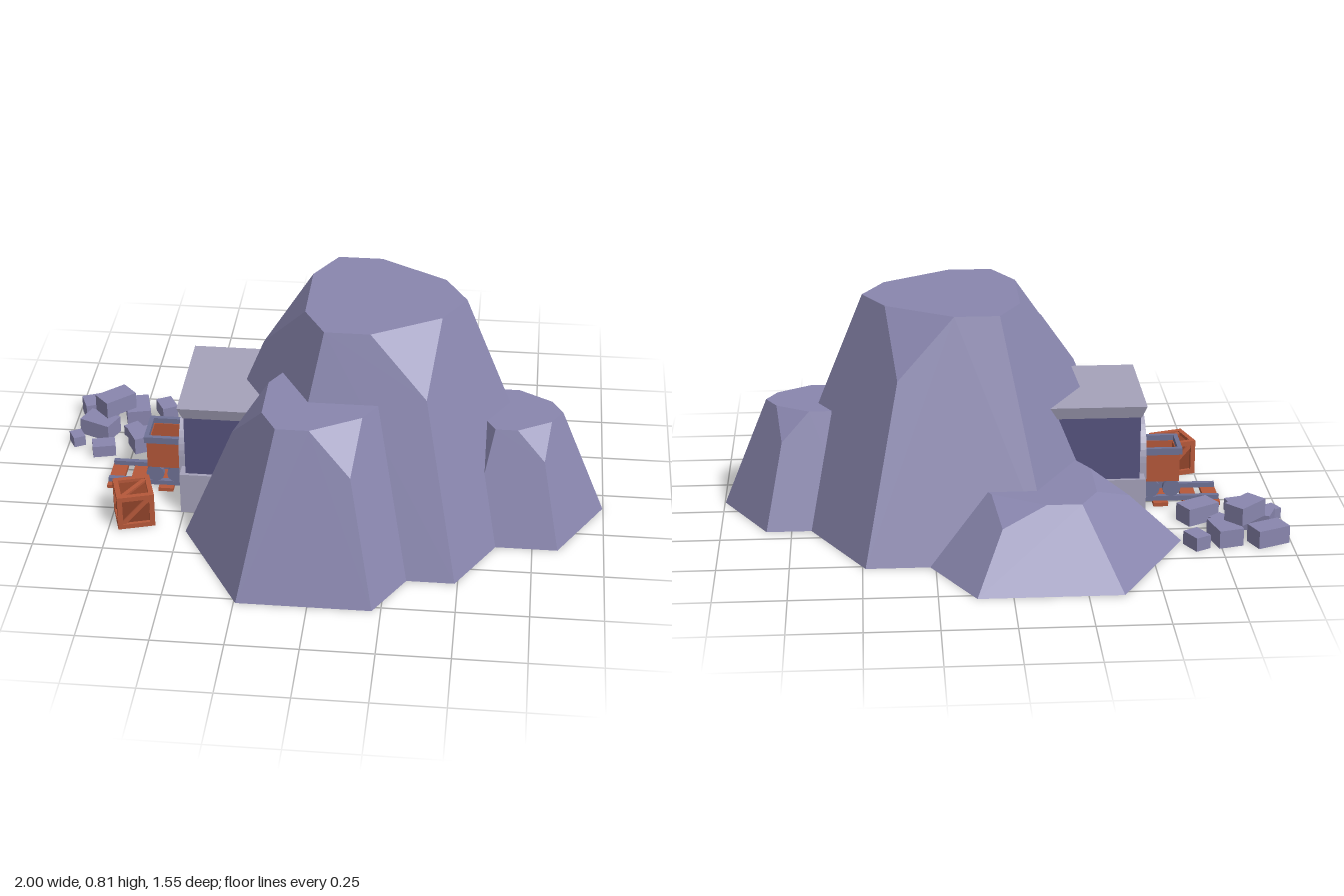
import * as THREE from 'three';
import { ConvexGeometry } from 'three/addons/geometries/ConvexGeometry.js';

const mat = (color) => new THREE.MeshStandardMaterial({ color, flatShading: true });
const rock = mat(0x8986ae), stone = mat(0xa5a2ba), wallMat = mat(0x56537f),
  dark = mat(0x33314a), metal = mat(0x6f7296), wood = mat(0xb5583a), darkWood = mat(0x8f4229);

function add(parent, name, geometry, material, x = 0, y = 0, z = 0) {
  const m = new THREE.Mesh(geometry, material);
  m.name = name;
  m.position.set(x, y, z);
  parent.add(m);
  return m;
}
const box = (parent, name, material, w, h, d, x, y, z) =>
  add(parent, name, new THREE.BoxGeometry(w, h, d), material, x, y, z);
function group(parent, name) {
  const g = new THREE.Group();
  g.name = name;
  parent.add(g);
  return g;
}

// Six-sided tapered rock; every other top corner is chipped off
function rockGeometry(r, h) {
  const pts = [], top = r * 0.49;
  const put = (a, rad, y) => pts.push(new THREE.Vector3(Math.cos(a) * rad, y, Math.sin(a) * rad));
  for (let i = 0; i < 6; i++) {
    const a = i * Math.PI / 3;
    put(a, r, 0);
    if (i % 2) put(a, r + (top - r) * 0.745, h * 0.745);
    else put(a, top, h);
    put(a + Math.PI / 6, top * Math.cos(Math.PI / 6), h);
  }
  return new ConvexGeometry(pts);
}

// Arch outline in the (z, y) plane
function archPath(target, r, spring) {
  target.moveTo(-r, 0);
  target.lineTo(-r, spring);
  target.absarc(0, spring, r, Math.PI, 0, true);
  target.lineTo(r, 0);
  target.lineTo(-r, 0);
  return target;
}

// Extrusion from x = back toward the mouth at x = front
function extrudeX(parent, name, shape, material, front, back) {
  const g = new THREE.ExtrudeGeometry(shape, { depth: back - front, bevelEnabled: false, curveSegments: 10 });
  g.rotateY(-Math.PI / 2);
  return add(parent, name, g, material, back, 0, 0.04);
}

function buildEntrance(root) {
  const g = group(root, 'entrance');
  const wall = new THREE.Shape([[-0.2, 0], [0.2, 0], [0.2, 0.41], [-0.2, 0.41]].map((p) => new THREE.Vector2(...p)));
  wall.holes.push(archPath(new THREE.Path(), 0.12, 0.2));
  extrudeX(g, 'entranceWall', wall, wallMat, -0.49, -0.1);
  extrudeX(g, 'tunnelDarkness', archPath(new THREE.Shape(), 0.125, 0.2), dark, -0.475, -0.44);

  // Raised stone surround
  const ring = archPath(new THREE.Shape(), 0.155, 0.2);
  ring.holes.push(archPath(new THREE.Path(), 0.12, 0.2));
  extrudeX(g, 'archSurround', ring, stone, -0.52, -0.47);

  // Stone footings at both sides
  for (const s of [-1, 1]) box(g, 'footing', stone, 0.3, 0.16, 0.075, -0.36, 0.08, 0.04 + s * 0.175);

  // Roof slab narrowing to its underside
  const roof = new THREE.BoxGeometry(0.51, 0.045, 0.44);
  const p = roof.attributes.position;
  for (let i = 0; i < p.count; i++) {
    if (p.getY(i) < 0) {
      p.setX(i, p.getX(i) * 0.93);
      p.setZ(i, p.getZ(i) * 0.94);
    }
  }
  roof.computeVertexNormals();
  add(g, 'roofSlab', roof, stone, -0.255, 0.4175, 0.04);
}

function buildTrack(root) {
  const g = group(root, 'track');
  for (const x of [-0.775, -0.695, -0.585, -0.49])
    box(g, 'sleeper', wood, 0.054, 0.014, 0.175, x, 0.007, 0.04);
  for (const z of [-0.017, 0.097])
    box(g, 'rail', metal, 0.36, 0.018, 0.018, -0.62, 0.022, z);
}

function buildCart(root) {
  const g = group(root, 'cart');
  g.position.set(-0.587, 0, 0.04);
  box(g, 'cartFloor', wood, 0.12, 0.02, 0.12, 0, 0.1, 0);
  box(g, 'chassis', metal, 0.13, 0.022, 0.09, 0, 0.08, 0);
  for (const s of [-1, 1]) {
    box(g, 'cartSide', wood, 0.13, 0.11, 0.012, 0, 0.145, s * 0.061);
    box(g, 'cartEnd', wood, 0.012, 0.11, 0.12, s * 0.06, 0.145, 0);
    box(g, 'rimSide', metal, 0.146, 0.025, 0.016, 0, 0.208, s * 0.066);
    box(g, 'rimEnd', metal, 0.016, 0.025, 0.132, s * 0.065, 0.208, 0);
    // Axle with two wheels
    const axle = add(g, 'axle', new THREE.CylinderGeometry(0.01, 0.01, 0.13, 8), metal, s * 0.038, 0.062, 0);
    axle.rotation.x = Math.PI / 2;
    for (const t of [-1, 1]) {
      const wheel = add(g, 'wheel', new THREE.CylinderGeometry(0.033, 0.033, 0.018, 12), metal, s * 0.038, 0.062, t * 0.057);
      wheel.rotation.x = Math.PI / 2;
    }
  }
}

function buildCrate(root) {
  const g = group(root, 'crate');
  const S = 0.132, b = 0.018, k = S / 2 - b / 2;
  g.position.set(-0.67, S / 2, 0.302);
  g.rotation.y = 0.3;
  box(g, 'crateCore', darkWood, S - 0.024, S - 0.024, S - 0.024, 0, 0, 0);
  // Twelve edge beams
  for (const s of [-1, 1]) for (const t of [-1, 1]) {
    box(g, 'crateBeam', wood, S, b, b, 0, s * k, t * k);
    box(g, 'crateBeam', wood, b, S, b, s * k, 0, t * k);
    box(g, 'crateBeam', wood, b, b, S, s * k, t * k, 0);
  }
  // One diagonal board on each face
  const turns = [[0, 0], [0, 1], [0, 2], [0, 3], [1, 0], [-1, 0]];
  for (const [rx, ry] of turns) {
    const face = group(g, 'crateFace');
    face.rotation.set(rx * Math.PI / 2, ry * Math.PI / 2, 0);
    box(face, 'diagonalBoard', wood, 0.138, 0.016, 0.01, 0, 0, S / 2 - 0.009).rotation.z = Math.PI / 4;
  }
}

function buildRubble(root) {
  const g = group(root, 'rubble');
  // x, z, width, depth, height, base height, turn
  const stones = [
    [-0.92, -0.38, 0.125, 0.08, 0.065, 0, 0.4],
    [-0.77, -0.36, 0.09, 0.12, 0.065, 0, 0.25],
    [-0.665, -0.40, 0.06, 0.08, 0.05, 0, 0.5],
    [-0.845, -0.315, 0.13, 0.08, 0.065, 0.065, 0.75],
    [-0.895, -0.245, 0.125, 0.085, 0.065, 0, -0.4],
    [-0.766, -0.24, 0.06, 0.045, 0.04, 0, 0.7],
    [-0.70, -0.17, 0.13, 0.08, 0.065, 0, 0.5],
    [-0.968, -0.165, 0.045, 0.055, 0.04, 0, 0.5],
    [-0.857, -0.108, 0.085, 0.06, 0.045, 0, 0.25],
  ];
  for (const [x, z, w, d, h, y, turn] of stones)
    box(g, 'rubbleStone', rock, w, h, d, x, y + h / 2, z).rotation.y = turn;
}

export function createModel() {
  const root = new THREE.Group();
  root.name = 'mineEntrance';

  // Mountain of overlapping rocks: name, x, z, radius, height
  const rocks = [
    ['mainRock', 0.17, 0.035, 0.64, 0.805],
    ['frontRock', -0.012, 0.37, 0.463, 0.575],
    ['sideRock', 0.68, 0.085, 0.318, 0.4],
    ['backRock', -0.125, -0.35, 0.492, 0.238],
  ];
  for (const [name, x, z, r, h] of rocks) add(root, name, rockGeometry(r, h), rock, x, 0, z);

  buildEntrance(root);
  buildTrack(root);
  buildCart(root);
  buildCrate(root);
  buildRubble(root);
  return root;
}
